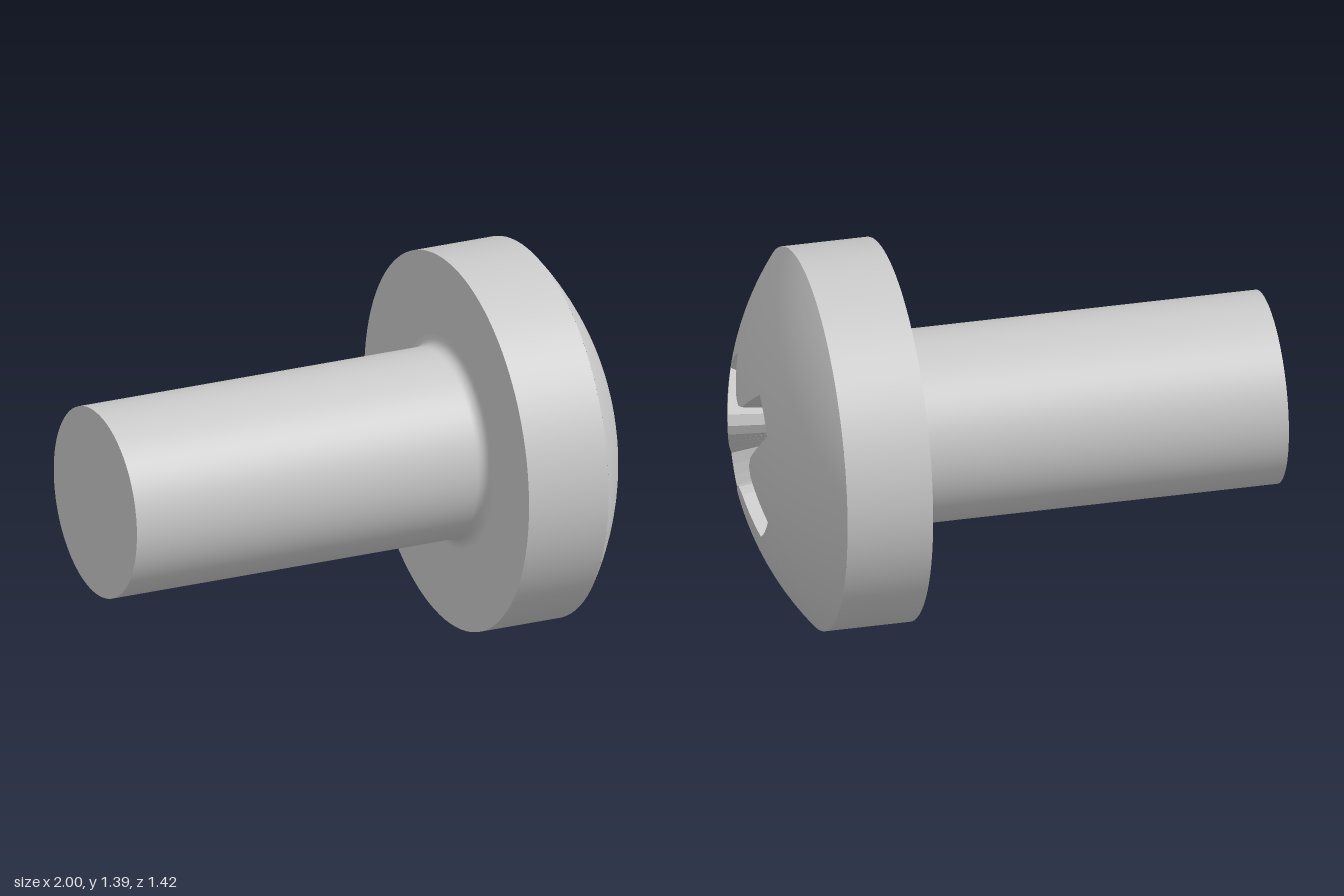
import * as THREE from 'three';

const HEAD_R = 0.694, SHAFT_R = 0.35, LENGTH = 1.39, RIM = 0.315, DOME = 0.25;
const SPHERE_R = (HEAD_R ** 2 + DOME ** 2) / (2 * DOME);
const SPHERE_Y = RIM + DOME - SPHERE_R;
const SUB = 5;

// Closed cross outline from [degrees, radius] keys of one arm, repeated four times
function crossOutline(keys) {
  const corners = [];
  for (let q = 0; q < 4; q++) {
    for (const [deg, r] of keys) {
      const a = THREE.MathUtils.degToRad(deg + 45 + q * 90);
      corners.push(new THREE.Vector2(Math.cos(a) * r, Math.sin(a) * r));
    }
  }
  const points = [];
  corners.forEach((p, i) => {
    const next = corners[(i + 1) % corners.length];
    for (let k = 0; k < SUB; k++) points.push(p.clone().lerp(next, k / SUB));
  });
  return points;
}

// Skin between closed rings that run outward
function loft(rings) {
  const n = rings[0].length, index = [];
  for (let i = 0; i < rings.length - 1; i++) {
    for (let j = 0; j < n; j++) {
      const k = (j + 1) % n;
      const a = i * n + j, c = i * n + k, b = a + n, d = c + n;
      index.push(a, c, b, c, d, b);
    }
  }
  const geometry = new THREE.BufferGeometry().setFromPoints(rings.flat());
  geometry.setIndex(index);
  return geometry;
}

export function createModel() {
  const steel = new THREE.MeshStandardMaterial({ color: 0xcacaca });
  steel.name = 'steel grey';
  const screw = new THREE.Group();
  screw.name = 'screw';

  const add = (name, geometry) => {
    const mesh = new THREE.Mesh(geometry, steel);
    mesh.name = name;
    screw.add(mesh);
  };
  const addLathe = (name, profile) =>
    add(name, new THREE.LatheGeometry(profile.map(([r, y]) => new THREE.Vector2(r, y)), 96));

  // Shaft with a small fillet under the head
  const fillet = 0.04;
  const shaft = [[SHAFT_R, -LENGTH], [SHAFT_R, -0.06]];
  for (let i = 0; i <= 6; i++) {
    const a = (i / 6) * Math.PI / 2;
    shaft.push([SHAFT_R + fillet * (1 - Math.cos(a)), -fillet * (1 - Math.sin(a))]);
  }
  addLathe('shaftEnd', [[0, -LENGTH], [SHAFT_R, -LENGTH]]);
  addLathe('shaft', shaft);

  // Flat underside and straight edge of the head
  addLathe('headUnderside', [[SHAFT_R + fillet, 0], [HEAD_R, 0]]);
  addLathe('headEdge', [[HEAD_R, 0], [HEAD_R, RIM]]);

  // Tapered cross recess: mouth outline and smaller floor outline
  const mouth = crossOutline([[-14, 0.332], [-7, 0.332], [0, 0.332], [7, 0.332], [14, 0.332],
    [32, 0.18], [45, 0.163], [58, 0.18]]);
  const floor = crossOutline([[-26, 0.13], [-13, 0.132], [0, 0.132], [13, 0.132], [26, 0.13],
    [30, 0.126], [45, 0.112], [60, 0.126]]);
  const onDome = (p) => new THREE.Vector3(
    p.x, SPHERE_Y + Math.sqrt(SPHERE_R ** 2 - p.lengthSq()), p.y);
  const floorY = RIM + DOME - 0.35;

  // Dome from the recess mouth out to the rim
  const domeRings = [];
  for (let i = 0; i <= 12; i++) {
    domeRings.push(mouth.map((p) => onDome(
      p.clone().lerp(p.clone().setLength(HEAD_R), i / 12))));
  }
  const dome = loft(domeRings);
  const centre = new THREE.Vector3(0, SPHERE_Y, 0);
  const normals = domeRings.flat().map((p) => p.clone().sub(centre).normalize());
  dome.setAttribute('normal', new THREE.Float32BufferAttribute(
    normals.flatMap((v) => v.toArray()), 3));
  add('headDome', dome);

  // Recess walls and shallow conical floor
  const floorRing = floor.map((p) => new THREE.Vector3(p.x, floorY, p.y));
  const tipRing = floor.map(() => new THREE.Vector3(0, floorY - 0.06, 0));
  const addFlat = (name, rings) => {
    const geometry = loft(rings).toNonIndexed();
    geometry.computeVertexNormals();
    add(name, geometry);
  };
  addFlat('recessWalls', [floorRing, domeRings[0]]);
  addFlat('recessFloor', [tipRing, floorRing]);

  // Lay the screw along its slightly turned axis
  const axis = new THREE.Vector3(0.985, -0.0075, -0.174).normalize();
  const side = new THREE.Vector3().crossVectors(new THREE.Vector3(0, 1, 0), axis).normalize();
  const up = new THREE.Vector3().crossVectors(axis, side);
  screw.quaternion.setFromRotationMatrix(new THREE.Matrix4().makeBasis(up, axis, side));
  screw.position.set(0.43, 0.70, 0.022);

  const model = new THREE.Group();
  model.name = 'model';
  model.add(screw);
  return model;
}
